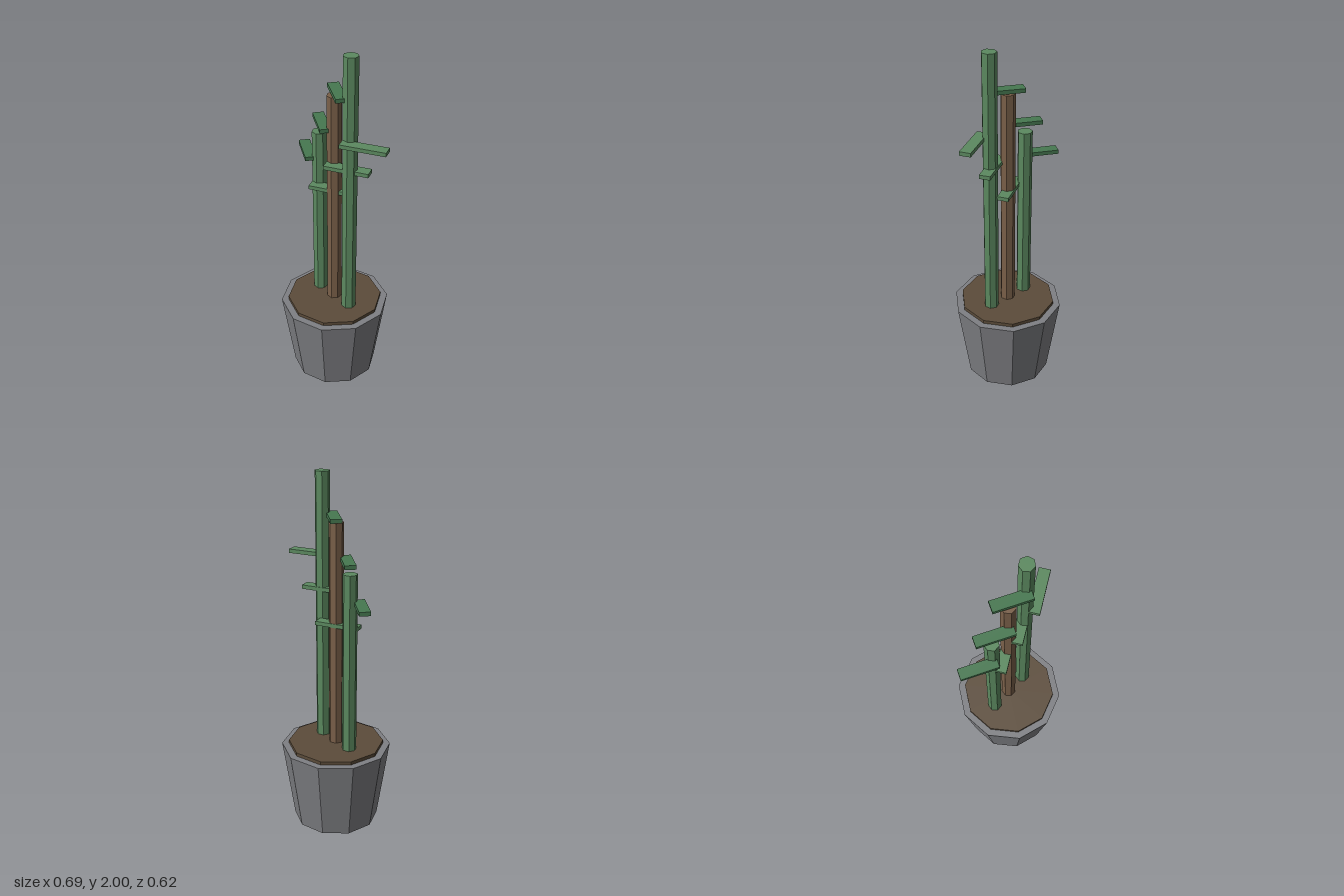
import * as THREE from 'three';

const paint = (color) => new THREE.MeshStandardMaterial({ color, flatShading: true });

export function createModel() {
  const model = new THREE.Group();
  model.name = 'pottedCactus';
  const grey = paint(0x7f8084);
  const soilBrown = paint(0x5c4c3a);
  const barkBrown = paint(0x7a6049);
  const green = paint(0x5c8a60);
  const darkGreen = paint(0x467850);

  const add = (name, geometry, material, x, y, turn = 0) => {
    const mesh = new THREE.Mesh(geometry, material);
    mesh.name = name;
    mesh.position.set(x, y, 0);
    mesh.rotation.y = turn;
    model.add(mesh);
  };

  // Ten-sided tapering pot with a slightly raised disc of soil
  add('pot', new THREE.CylinderGeometry(0.31, 0.242, 0.46, 10), grey, -0.01, 0.23);
  add('soil', new THREE.CylinderGeometry(0.27, 0.27, 0.04, 10), soilBrown, -0.01, 0.46);

  // Three seven-sided stems, rising from left to right
  const stemBase = 0.46;
  [
    ['rightStem', -0.136, 1.5, green],
    ['middleStem', -0.012, 1.75, barkBrown],
    ['leftStem', 0.113, 2, green],
  ].forEach(([name, x, top, material]) => {
    const height = top - stemBase;
    add(name, new THREE.CylinderGeometry(0.041, 0.041, height, 7), material, x, stemBase + height / 2, Math.PI);
  });

  // Each stem carries a long leaf to one side and a shorter, higher one to the other
  for (let i = 0; i < 3; i++) {
    const shift = i * 0.125;
    add('longLeaf', new THREE.BoxGeometry(0.25, 0.022, 0.062), green, -0.031 + shift, 1.19 + i * 0.175, 0.5);
    add('shortLeaf', new THREE.BoxGeometry(0.209, 0.022, 0.062), darkGreen, -0.239 + shift, 1.345 + i * 0.2135, -0.5);
  }
  return model;
}
